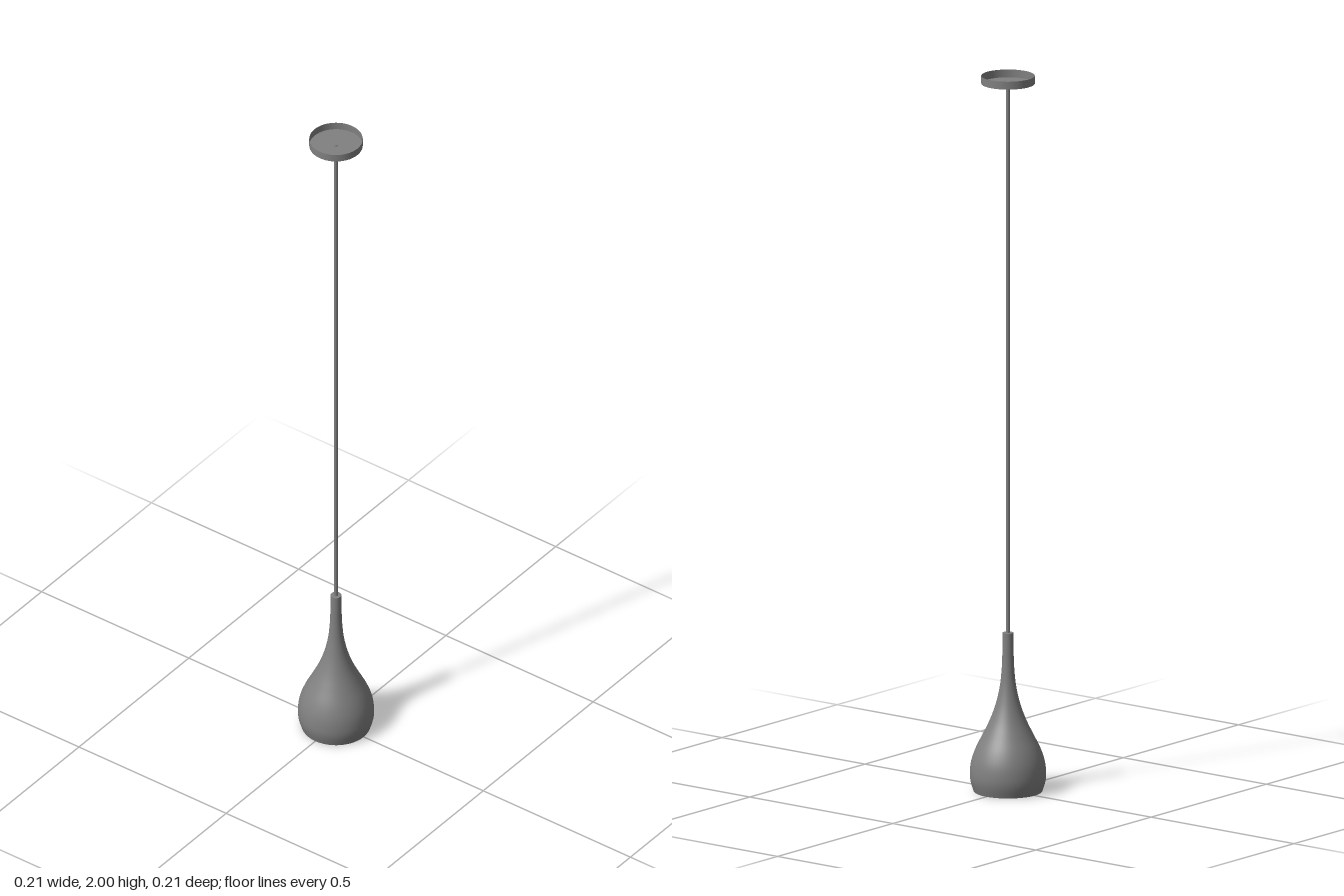
import * as THREE from 'three';

const SEGMENTS = 48;

export function createModel() {
  const lamp = new THREE.Group();
  lamp.name = 'pendantLamp';
  const material = new THREE.MeshStandardMaterial({ color: 0x808080, side: THREE.DoubleSide });

  function add(name, geometry, y, parent = lamp) {
    const mesh = new THREE.Mesh(geometry, material);
    mesh.name = name;
    mesh.position.y = y;
    parent.add(mesh);
    return mesh;
  }

  // Teardrop shade, open at the bottom, flowing into a slim neck
  const curve = new THREE.SplineCurve([
    [0.094, 0], [0.102, 0.027], [0.104, 0.052], [0.1, 0.085], [0.088, 0.12],
    [0.068, 0.16], [0.049, 0.2], [0.033, 0.245], [0.022, 0.295],
    [0.017, 0.345], [0.0155, 0.385], [0.015, 0.442],
  ].map(([r, y]) => new THREE.Vector2(r, y)));
  add('shade', new THREE.LatheGeometry(curve.getPoints(44), SEGMENTS), 0);

  // Flat cap closing the neck around the cord
  add('neckCap', new THREE.CircleGeometry(0.015, SEGMENTS).rotateX(-Math.PI / 2), 0.442);

  // Suspension cord
  const cordBottom = 0.442, cordTop = 1.981;
  add('cord', new THREE.CylinderGeometry(0.005, 0.005, cordTop - cordBottom, 16),
    (cordBottom + cordTop) / 2);

  // Shallow ceiling cup, open at the top
  const canopy = new THREE.Group();
  canopy.name = 'ceilingCanopy';
  lamp.add(canopy);
  add('canopyWall', new THREE.CylinderGeometry(0.073, 0.073, 0.022, SEGMENTS, 1, true), 1.989, canopy);
  add('canopyFloor', new THREE.CircleGeometry(0.073, SEGMENTS).rotateX(Math.PI / 2), 1.978, canopy);

  return lamp;
}
